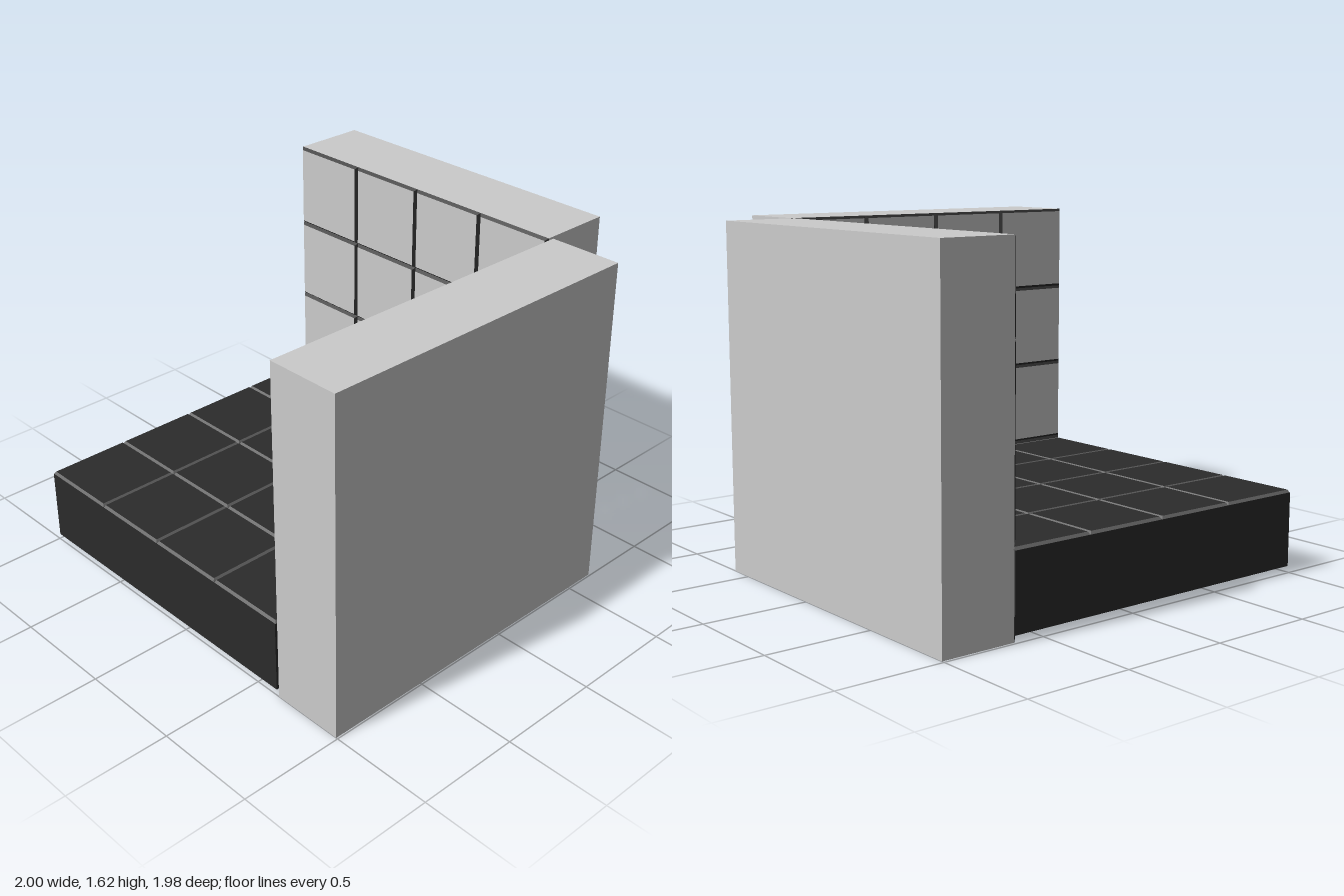
import * as THREE from 'three';

const grey = new THREE.MeshStandardMaterial({ color: 0xcccccc });
const dark = new THREE.MeshStandardMaterial({ color: 0x2b2b2b });
const mid = new THREE.MeshStandardMaterial({ color: 0x6a6a6a });

// Box given by its minimum and maximum corners
function block(name, [x0, y0, z0], [x1, y1, z1], material) {
  const mesh = new THREE.Mesh(new THREE.BoxGeometry(x1 - x0, y1 - y0, z1 - z0), material);
  mesh.position.set((x0 + x1) / 2, (y0 + y1) / 2, (z0 + z1) / 2);
  mesh.name = name;
  return mesh;
}

// Flat tile facing +z whose sides slope inward to the front
function tileGeometry(w, h, depth, bevel) {
  const g = new THREE.BoxGeometry(w, h, depth);
  g.translate(0, 0, depth / 2);
  const p = g.attributes.position;
  for (let i = 0; i < p.count; i++) {
    if (p.getZ(i) < depth / 2) continue;
    p.setX(i, p.getX(i) - Math.sign(p.getX(i)) * bevel);
    p.setY(i, p.getY(i) - Math.sign(p.getY(i)) * bevel);
  }
  g.computeVertexNormals();
  return g;
}

// 4 x 4 grid of tiles, centred, facing +z
function tilePanel(name, w, h, face, edge, depth, bevel, gap) {
  const panel = new THREE.Group();
  panel.name = name;
  const n = 4, cw = w / n, ch = h / n;
  const g = tileGeometry(cw - gap, ch - gap, depth, bevel);
  const materials = [edge, edge, edge, edge, face, edge];
  for (let r = 0; r < n; r++) {
    for (let c = 0; c < n; c++) {
      const tile = new THREE.Mesh(g, materials);
      tile.name = 'tile';
      tile.position.set((c - 1.5) * cw, (r - 1.5) * ch, 0);
      panel.add(tile);
    }
  }
  return panel;
}

export function createModel() {
  const model = new THREE.Group();
  model.name = 'tiledCorner';
  const H = 1.625;

  // Solid walls and the raised floor slab
  model.add(block('frontWall', [-1, 0, 0.636], [0.653, H, 0.992], grey));
  model.add(block('sideWall', [0.641, 0, -0.987], [1, H, 0.621], grey));
  model.add(block('floorSlab', [-1, 0.03, -0.992], [0.64, 0.38, 0.622], dark));

  // Light wall tiles with dark bevels, on the inner faces
  const front = tilePanel('frontWallTiles', 1.653, H, grey, dark, 0.014, 0.012, 0);
  front.rotation.y = Math.PI;
  front.position.set(-0.1735, H / 2, 0.636);
  model.add(front);

  const side = tilePanel('sideWallTiles', 1.608, H, grey, dark, 0.014, 0.012, 0);
  side.rotation.y = -Math.PI / 2;
  side.position.set(0.641, H / 2, -0.183);
  model.add(side);

  // Dark floor tiles with lighter bevels
  const floor = tilePanel('floorTiles', 1.65, 1.618, dark, mid, 0.013, 0.008, 0.003);
  floor.rotation.x = -Math.PI / 2;
  floor.position.set(-0.175, 0.38, -0.183);
  model.add(floor);

  return model;
}
